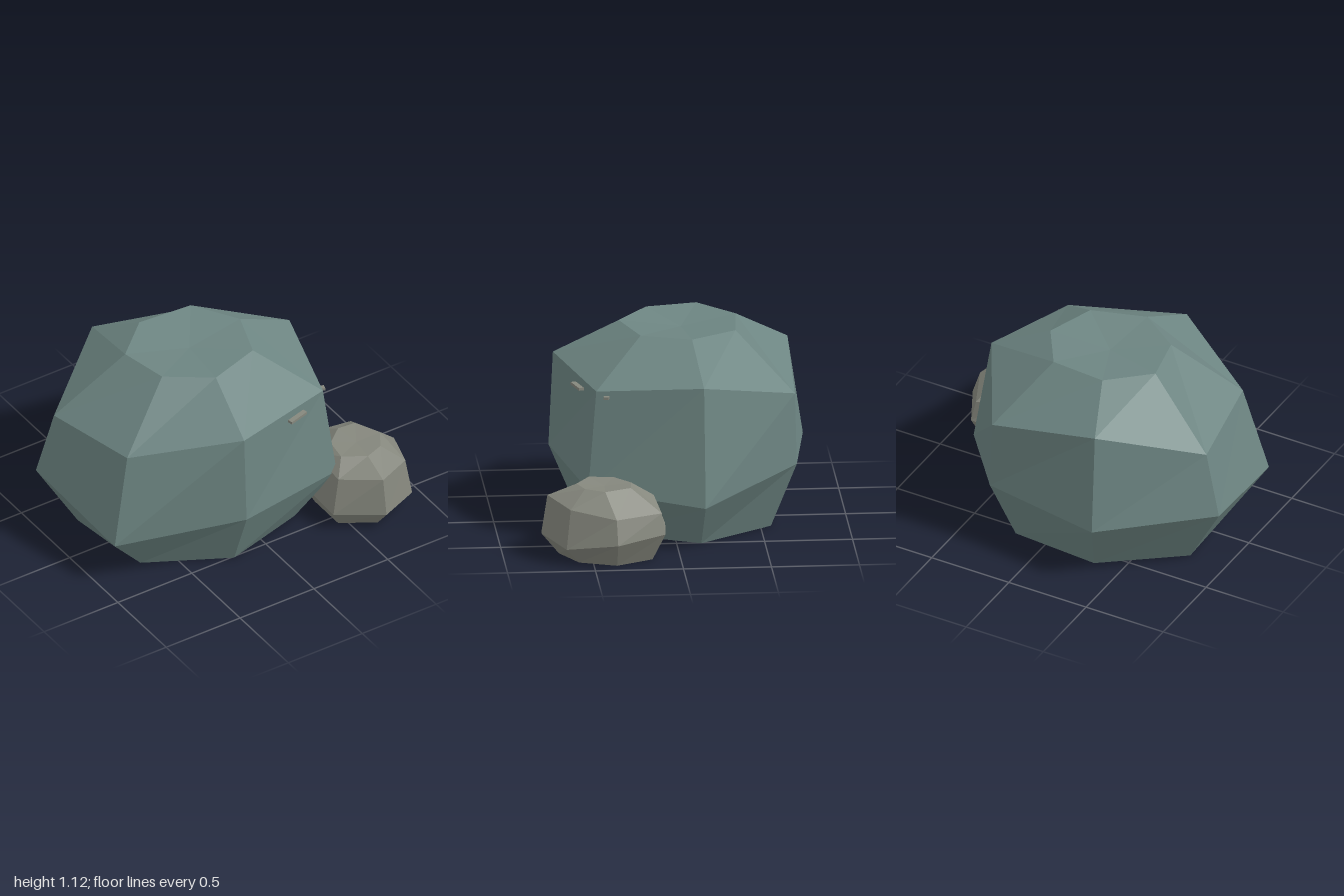
import * as THREE from 'three';

// Faceted stone: rings of [x, y, z] from the ground up, closed by centre points.
function stone(name, color, rings, dent) {
  const pos = [];
  const tri = (...pts) => pts.forEach((p) => pos.push(...p));
  const centre = (ring, drop) => {
    const c = [0, 1, 2].map((k) => ring.reduce((s, p) => s + p[k], 0) / ring.length);
    c[1] -= drop;
    return c;
  };
  const bottom = rings[0];
  const top = rings[rings.length - 1];
  const low = centre(bottom, 0);
  const high = centre(top, dent);
  const n = bottom.length;
  for (let i = 0; i < n; i++) {
    const j = (i + 1) % n;
    for (let r = 0; r < rings.length - 1; r++) {
      const a = rings[r];
      const b = rings[r + 1];
      tri(a[j], a[i], b[i]);
      tri(a[j], b[i], b[j]);
    }
    tri(low, bottom[i], bottom[j]);
    tri(high, top[j], top[i]);
  }
  const geo = new THREE.BufferGeometry();
  geo.setAttribute('position', new THREE.Float32BufferAttribute(pos, 3));
  geo.computeVertexNormals();
  const mesh = new THREE.Mesh(geo, new THREE.MeshStandardMaterial({ color, flatShading: true }));
  mesh.name = name;
  return mesh;
}

// Ring of [x, z] points at one height
const level = (y, pts) => pts.map(([x, z]) => [x, y, z]);

export function createModel() {
  const group = new THREE.Group();
  group.name = 'rocks';

  // Large boulder: base, belly, shoulder, crown
  group.add(stone('largeRock', 0x6d8582, [
    level(0, [[-0.33, -0.6], [0.2, -0.56], [0.51, -0.14], [0.28, 0.37], [-0.22, 0.51], [-0.69, 0.26], [-0.77, -0.27]]),
    [[-0.42, 0.36, -0.79], [0.29, 0.39, -0.7], [0.7, 0.26, -0.15], [0.48, 0.32, 0.5],
      [-0.24, 0.38, 0.67], [-0.93, 0.28, 0.36], [-1, 0.4, -0.35]],
    [[-0.39, 0.945, -0.7], [0.28, 0.805, -0.69], [0.585, 0.936, -0.15], [0.42, 0.885, 0.45],
      [-0.24, 0.927, 0.645], [-0.8, 0.81, 0.29], [-0.9, 0.77, -0.315]],
    level(1.12, [[-0.27, -0.395], [0.06, -0.37], [0.225, -0.11], [0.125, 0.175], [-0.19, 0.275], [-0.44, 0.1], [-0.5, -0.19]]),
  ], 0.03));

  // Small stone leaning against it
  group.add(stone('smallRock', 0x85877d, [
    level(0, [[0.65, 0.14], [0.8, 0.16], [0.91, 0.37], [0.83, 0.58], [0.64, 0.68], [0.45, 0.56], [0.45, 0.32]]),
    [[0.63, 0.16, 0.075], [0.85, 0.16, 0.09], [0.995, 0.14, 0.37], [0.89, 0.095, 0.655],
      [0.635, 0.12, 0.78], [0.39, 0.11, 0.605], [0.38, 0.14, 0.29]],
    [[0.63, 0.33, 0.14], [0.83, 0.28, 0.11], [0.95, 0.28, 0.375], [0.86, 0.32, 0.63],
      [0.635, 0.345, 0.745], [0.44, 0.325, 0.58], [0.44, 0.35, 0.31]],
    level(0.41, [[0.64, 0.27], [0.75, 0.28], [0.82, 0.43], [0.75, 0.54], [0.64, 0.58], [0.51, 0.5], [0.53, 0.36]]),
  ], 0.01));

  // Thin chips showing through the large boulder's front corner
  const chipMat = new THREE.MeshStandardMaterial({ color: 0x85877d, flatShading: true });
  for (const [x, y, z, w, turn] of [[0.19, 0.85, 0.54, 0.13, 0.28], [0.45, 0.855, 0.395, 0.03, 1.3]]) {
    const chip = new THREE.Mesh(new THREE.BoxGeometry(w, 0.016, 0.03), chipMat);
    chip.name = 'stoneChip';
    chip.position.set(x, y, z);
    chip.rotation.y = turn;
    group.add(chip);
  }
  return group;
}
